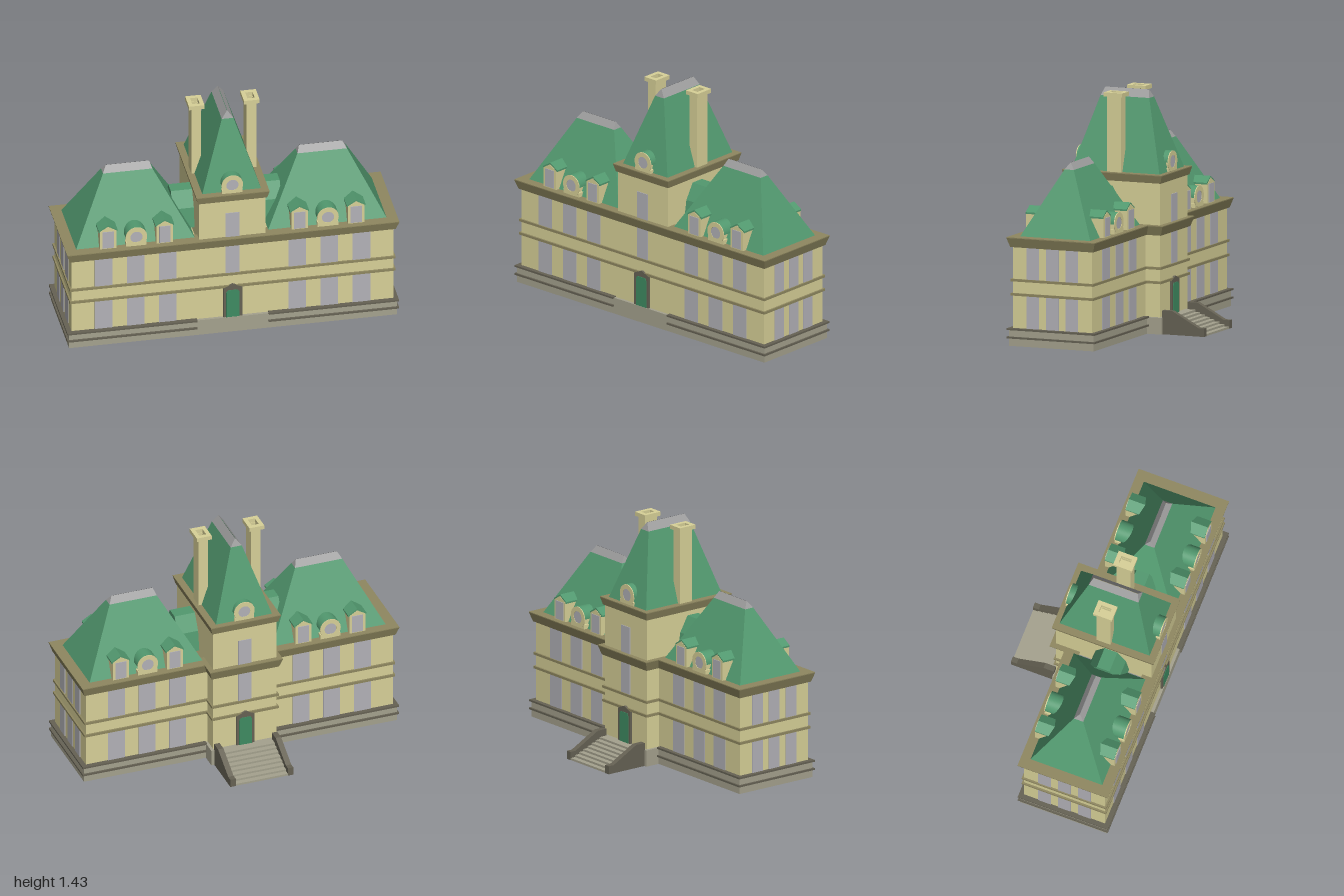
import * as THREE from 'three';

const mat = (color) => new THREE.MeshStandardMaterial({ color, side: THREE.DoubleSide, flatShading: true });
const M = {
  wall: mat(0xd8d198), trim: mat(0x8f8860), stone: mat(0xa5a28e), dark: mat(0x666254),
  roof: mat(0x52996f), cap: mat(0x9d9d9d), glass: mat(0xb3b2b8), door: mat(0x3f8c62),
};

// Plans run counter-clockwise seen from above, as [x, z]
const rect = (x0, x1, z0, z1) => [[x0, z1], [x1, z1], [x1, z0], [x0, z0]];
const WX = 0.97, ZF = 0.43, ZB = -0.083, TX = 0.2, TB = -0.175, ZC = 0.172;
const plan = (o) => [[-WX - o, ZF + o], [WX + o, ZF + o], [WX + o, ZB - o], [TX + o, ZB - o],
  [TX + o, TB - o], [-TX - o, TB - o], [-TX - o, ZB - o], [-WX - o, ZB - o]];
const tower = (o) => rect(-TX - o, TX + o, TB - o, ZF + o);

// Skin between successive plans, each given as [plan, y]
function loft(sections) {
  const v = [];
  for (let k = 0; k + 1 < sections.length; k++) {
    const [p, y0] = sections[k], [q, y1] = sections[k + 1];
    p.forEach((a, i) => {
      const j = (i + 1) % p.length, b = p[j], c = q[j], d = q[i];
      v.push(a[0], y0, a[1], b[0], y0, b[1], c[0], y1, c[1]);
      v.push(a[0], y0, a[1], c[0], y1, c[1], d[0], y1, d[1]);
    });
  }
  const g = new THREE.BufferGeometry();
  g.setAttribute('position', new THREE.Float32BufferAttribute(v, 3));
  g.computeVertexNormals();
  return g;
}

function add(parent, name, geo, m, x = 0, y = 0, z = 0) {
  const mesh = new THREE.Mesh(geo, m);
  mesh.name = name;
  mesh.position.set(x, y, z);
  parent.add(mesh);
}

// Box from its limits
const box = (parent, name, m, x0, x1, y0, y1, z0, z1) => add(parent, name,
  new THREE.BoxGeometry(x1 - x0, y1 - y0, z1 - z0), m, (x0 + x1) / 2, (y0 + y1) / 2, (z0 + z1) / 2);

const shape = (pts) => new THREE.Shape(pts.map(([x, y]) => new THREE.Vector2(x, y)));
const extrude = (s, depth) => new THREE.ExtrudeGeometry(s, { depth, bevelEnabled: false, curveSegments: 16 });

// Dormers face +z with their front near z = 0
function squareDormer() {
  const g = new THREE.Group();
  g.name = 'gabledDormer';
  add(g, 'dormerBody', extrude(shape([[-0.05, 0], [0.05, 0], [0.05, 0.12], [0, 0.15], [-0.05, 0.12]]), 0.1), M.wall, 0, 0, -0.1);
  add(g, 'dormerRoof', extrude(shape([[-0.057, 0.115], [-0.05, 0.115], [0, 0.145], [0.05, 0.115],
    [0.057, 0.115], [0.057, 0.125], [0, 0.16], [-0.057, 0.125]]), 0.11), M.roof, 0, 0, -0.112);
  box(g, 'dormerWindow', M.glass, -0.034, 0.034, 0.005, 0.117, -0.01, 0.004);
  return g;
}

function roundDormer() {
  const g = new THREE.Group();
  g.name = 'roundDormer';
  const ring = new THREE.Shape().absarc(0, 0, 0.065, 0, Math.PI * 2);
  ring.holes.push(new THREE.Path().absarc(0, 0, 0.037, 0, Math.PI * 2, true));
  add(g, 'dormerRing', extrude(ring, 0.005), M.wall, 0, 0.06, -0.004);
  box(g, 'dormerBody', M.wall, -0.05, 0.05, 0, 0.06, -0.09, -0.01);
  box(g, 'dormerFoot', M.wall, -0.062, 0.062, 0, 0.026, -0.08, 0);
  const hood = new THREE.Shape().absarc(0, 0.06, 0.065, 0, Math.PI);
  add(g, 'dormerHood', extrude(hood, 0.116), M.roof, 0, 0, -0.12);
  add(g, 'dormerWindow', new THREE.CylinderGeometry(0.038, 0.038, 0.01, 24).rotateX(Math.PI / 2), M.glass, 0, 0.06, -0.006);
  return g;
}

function place(parent, item, x, y, z, back) {
  item.position.set(x, y, z);
  if (back) item.rotation.y = Math.PI;
  parent.add(item);
}

function doorway() {
  const g = new THREE.Group();
  g.name = 'doorway';
  add(g, 'doorFrame', extrude(shape([[-0.057, 0], [0.057, 0], [0.057, 0.2], [0, 0.224], [-0.057, 0.2]]), 0.026), M.dark, 0, 0, -0.013);
  add(g, 'door', extrude(shape([[-0.04, 0], [0.04, 0], [0.04, 0.17], [0.03, 0.185], [-0.03, 0.185], [-0.04, 0.17]]), 0.032), M.door, 0, 0, -0.016);
  return g;
}

export function createModel() {
  const root = new THREE.Group();
  root.name = 'mansion';

  // Hollow walls, with belts and cornices running round them
  add(root, 'mainWalls', loft([[plan(0), 0.1], [plan(0), 0.6]]), M.wall);
  add(root, 'towerWalls', loft([[tower(0), 0.6], [tower(0), 0.91]]), M.wall);
  for (const y of [0.3, 0.385]) {
    add(root, 'belt', loft([[plan(0), y], [plan(0.011), y], [plan(0.011), y + 0.015], [plan(0), y + 0.015]]), M.trim);
  }
  add(root, 'mainCornice', loft([[plan(0), 0.59], [plan(0.012), 0.59], [plan(0.03), 0.645], [plan(0.03), 0.65], [plan(-0.06), 0.65]]), M.trim);
  add(root, 'towerCornice', loft([[tower(0), 0.9], [tower(0.008), 0.9], [tower(0.02), 0.945], [tower(0.02), 0.95], [tower(-0.06), 0.95]]), M.trim);

  // Open stone plinth: a thin frame under the tower and one under each wing
  const inner = tower(0), outer = tower(0.018);
  add(root, 'towerPlinth', loft([[inner, 0.1], [inner, 0], [outer, 0], [outer, 0.1], [inner, 0.1]]), M.stone);
  const wingFrame = (s, name, m, o, y0, y1) => {
    const bar = (xa, xb, z0, z1) => box(root, name, m, Math.min(s * xa, s * xb), Math.max(s * xa, s * xb), y0, y1, z0, z1);
    bar(0.215, WX + o, ZF, ZF + o);
    bar(0.215, WX + o, ZB - o, ZB);
    bar(WX, WX + o, ZB, ZF);
  };

  // Windows stand slightly proud of both faces of the wall
  const t = 0.004;
  for (const [y0, y1] of [[0.105, 0.3], [0.4, 0.59]]) {
    for (const s of [-1, 1]) {
      for (const x of [0.39, 0.583, 0.777]) {
        for (const z of [ZF, ZB]) box(root, 'window', M.glass, s * x - 0.053, s * x + 0.053, y0, y1, z - t, z + t);
      }
      for (const z of [0.048, 0.173, 0.3]) box(root, 'endWindow', M.glass, s * WX - t, s * WX + t, y0, y1, z - 0.04, z + 0.04);
    }
  }
  for (const z of [ZF, TB]) {
    box(root, 'towerWindow', M.glass, -0.042, 0.042, 0.4, 0.815, z - t, z + t);
    place(root, doorway(), 0, 0.1, z, z < 0);
  }

  for (const s of [-1, 1]) {
    wingFrame(s, 'wingPlinth', M.stone, 0.018, 0, 0.1);
    for (const y of [0.045, 0.095]) wingFrame(s, 'plinthBand', M.dark, 0.029, y, y + 0.011);

    // Hipped wing roof with grey ridge cap
    const r = (a, b, h) => (s > 0 ? rect(a, b, ZC - h, ZC + h) : rect(-b, -a, ZC - h, ZC + h));
    const eave = r(0.437, 0.735, 0.03);
    add(root, 'wingRoof', loft([[r(0.222, 0.935, 0.227), 0.65], [eave, 1.035]]), M.roof);
    add(root, 'wingRidge', loft([[eave, 1.035], [r(0.452, 0.712, 0.001), 1.075]]), M.cap);

    // Faceted link roof joining wing and tower
    const link = shape([[-0.115, 0.645], [0.115, 0.645], [0.095, 0.77], [0.04, 0.865], [-0.04, 0.865], [-0.095, 0.77]]);
    add(root, 'linkRoof', extrude(link, 0.133).rotateY(Math.PI / 2), M.roof, s > 0 ? 0.195 : -0.328, 0.005, ZC);

    for (const back of [false, true]) {
      const z = back ? -0.08 : 0.425;
      for (const x of [0.406, 0.747]) place(root, squareDormer(), s * x, 0.65, z, back);
      place(root, roundDormer(), s * 0.577, 0.65, z, back);
    }

    // Hollow-topped chimney
    const c = (hx, hz) => rect(s * 0.166 - hx, s * 0.166 + hx, 0.123 - hz, 0.123 + hz);
    add(root, 'chimney', loft([[c(0.03, 0.045), 0.94], [c(0.03, 0.045), 1.4]]), M.wall);
    add(root, 'chimneyCap', loft([[c(0.02, 0.03), 1.4], [c(0.047, 0.06), 1.4], [c(0.047, 0.06), 1.425],
      [c(0.022, 0.033), 1.425], [c(0.022, 0.033), 1.37], [c(0, 0), 1.37]]), M.wall);
  }

  // Steep tower roof with grey ridge cap
  const neck = rect(-0.035, 0.035, -0.032, 0.283);
  add(root, 'towerRoof', loft([[rect(-0.177, 0.177, -0.162, 0.408), 0.95], [neck, 1.38]]), M.roof);
  add(root, 'towerRidge', loft([[neck, 1.38], [rect(-0.001, 0.001, -0.014, 0.267), 1.426]]), M.cap);
  place(root, roundDormer(), 0, 0.945, 0.43, false);
  place(root, roundDormer(), 0, 0.945, -0.168, true);

  // Rear steps, open beneath, between sloping side walls
  const steps = 8, run = 0.25 / steps, rise = 0.1 / steps;
  for (let i = 0; i < steps; i++) {
    const y = 0.1 - rise * i, z = -0.21 - run * i;
    box(root, 'tread', M.stone, -0.166, 0.166, y - 0.005, y, z - run, z);
    box(root, 'riser', M.stone, -0.166, 0.166, y - rise, y - 0.005, z - run, z - run + 0.005);
  }
  box(root, 'landing', M.stone, -0.166, 0.166, 0.095, 0.1, -0.21, -0.17);
  const cheek = shape([[0.19, 0], [0.462, 0], [0.462, 0.05], [0.425, 0.05], [0.255, 0.142], [0.19, 0.142]]);
  for (const x of [-0.199, 0.165]) add(root, 'stairWall', extrude(cheek, 0.034).rotateY(Math.PI / 2), M.dark, x, 0, 0);
  return root;
}
